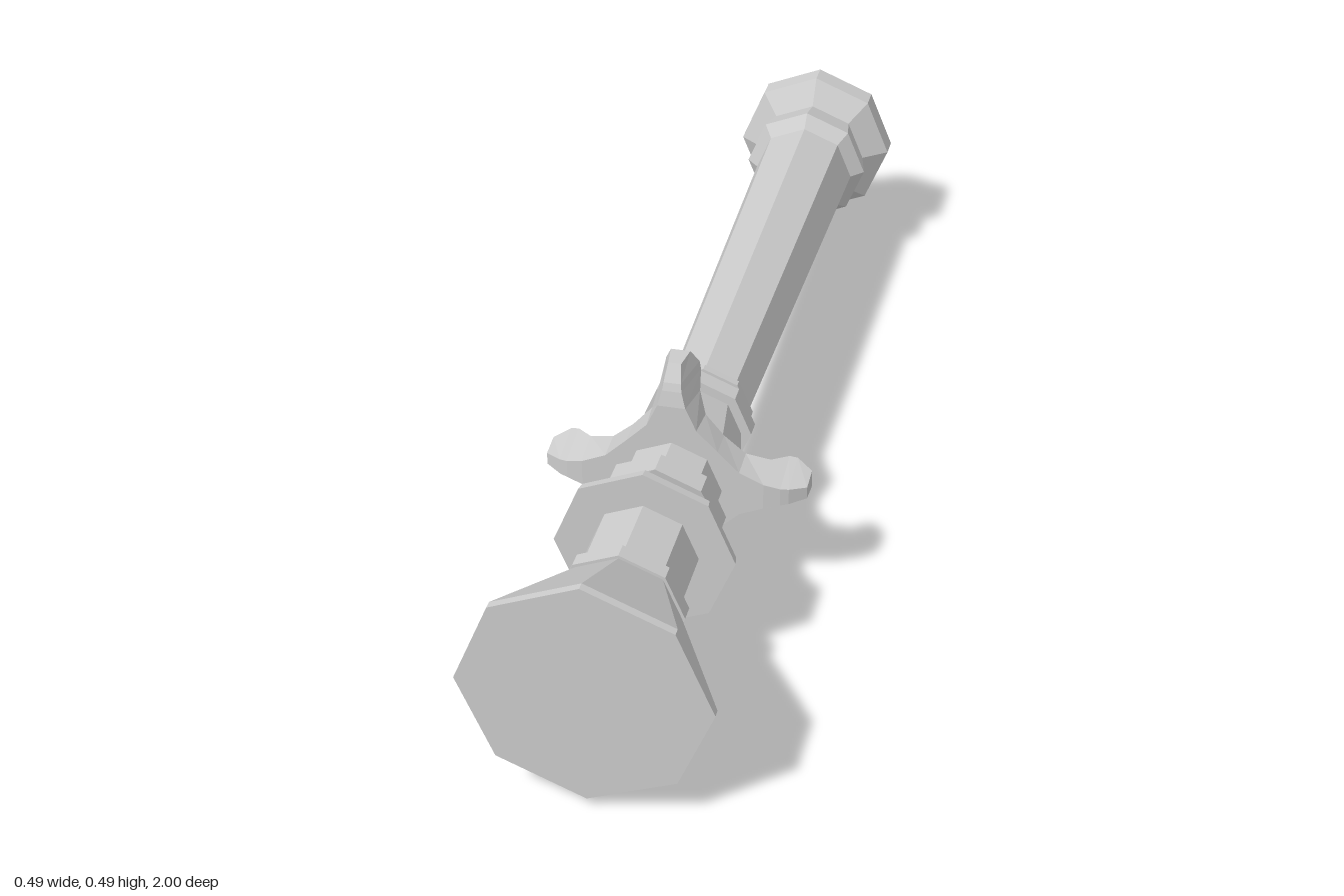
import * as THREE from 'three';

const CENTRE_Y = 0.246;

export function createModel() {
  const model = new THREE.Group();
  const body = new THREE.Group();
  body.name = 'hilt';
  body.position.y = CENTRE_Y;
  model.add(body);

  const solid = new THREE.MeshStandardMaterial({ color: 0xcccccc, flatShading: true });
  const shell = solid.clone();
  shell.side = THREE.DoubleSide;

  // Octagonal turned part along z; profile is [z, radius] from back to front
  function turned(name, profile, material = solid) {
    const points = profile.map(([z, r]) => new THREE.Vector2(r, z));
    const mesh = new THREE.Mesh(new THREE.LatheGeometry(points, 8), material);
    mesh.rotation.x = Math.PI / 2;
    mesh.name = name;
    body.add(mesh);
  }

  // Hollow flared end, open at the back
  turned('flaredEnd', [
    [-1, 0.165], [-0.955, 0.165], [-0.917, 0.115], [-0.853, 0.13], [-0.825, 0.104],
  ], shell);

  // Tapered grip
  turned('grip', [[-0.83, 0.105], [0.128, 0.084]], shell);

  // Rings and neck between grip and guard
  turned('gripRing', [[0.125, 0], [0.125, 0.093], [0.14, 0.093], [0.14, 0]]);
  turned('gripNeck', [[0.138, 0.082], [0.167, 0.082]]);
  turned('guardCollar', [[0.165, 0], [0.165, 0.106], [0.2, 0.106], [0.2, 0]]);
  turned('guardCone', [[0.198, 0.086], [0.345, 0.118]]);

  // Bell, necks and collar between guard and pommel
  turned('guardNeck', [[0.38, 0.093], [0.468, 0.093]]);
  turned('bell', [
    [0.465, 0], [0.465, 0.118], [0.512, 0.118], [0.56, 0.145], [0.578, 0.162], [0.597, 0.165], [0.597, 0],
  ]);
  turned('pommelNeck', [[0.59, 0.099], [0.738, 0.099]]);
  turned('pommelCollar', [[0.735, 0], [0.735, 0.115], [0.765, 0.115], [0.765, 0]]);
  turned('pommel', [[0.763, 0], [0.763, 0.108], [0.985, 0.222], [1, 0.222], [1, 0]]);

  // Guard arm sections: distance, front z, rear z, front half width, rear half width
  const sections = [
    [0, 0.39, 0.335, 0, 0],
    [0.085, 0.39, 0.335, 0.085, 0.085],
    [0.125, 0.39, 0.333, 0.046, 0.05],
    [0.17, 0.39, 0.325, 0.026, 0.038],
    [0.2, 0.385, 0.3, 0.018, 0.034],
    [0.215, 0.38, 0.298, 0.016, 0.031],
    [0.245, 0.36, 0.315, 0.012, 0.018],
  ];
  const positions = [];
  const index = [];
  sections.forEach(([d, front, rear, wf, wr], i) => {
    positions.push(d, wf, front, d, -wf, front, d, -wr, rear, d, wr, rear);
    if (i === 0) return;
    for (let k = 0; k < 4; k++) {
      const a = (i - 1) * 4 + k;
      const b = (i - 1) * 4 + ((k + 1) % 4);
      index.push(a, b, b + 4, a, b + 4, a + 4);
    }
  });
  const end = (sections.length - 1) * 4;
  index.push(end, end + 1, end + 2, end, end + 2, end + 3);
  const armGeometry = new THREE.BufferGeometry();
  armGeometry.setAttribute('position', new THREE.Float32BufferAttribute(positions, 3));
  armGeometry.setIndex(index);
  armGeometry.computeVertexNormals();

  // Four-armed cross guard
  const guard = new THREE.Group();
  guard.name = 'crossGuard';
  for (let i = 0; i < 4; i++) {
    const arm = new THREE.Mesh(armGeometry, solid);
    arm.name = 'guardArm';
    arm.rotation.z = (i * Math.PI) / 2;
    guard.add(arm);
  }
  body.add(guard);

  return model;
}
